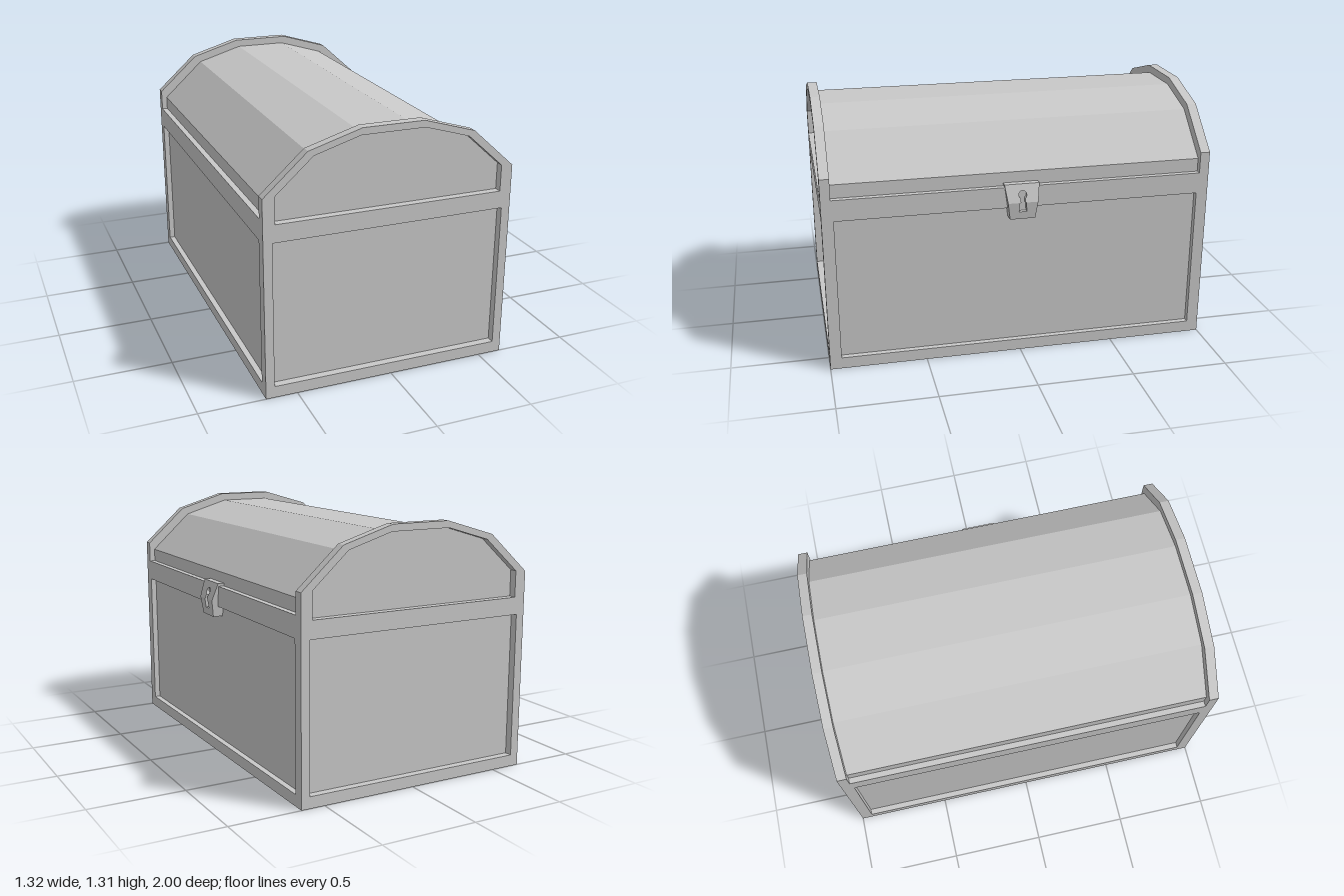
import * as THREE from 'three';

const W = 0.643;      // half width of the chest body
const CORE = 0.613;   // half width of the recessed walls and lid

const shapeOf = (pts) => new THREE.Shape(pts.map(([x, y]) => new THREE.Vector2(x, y)));
const rect = (hx, y0, y1) => [[-hx, y0], [hx, y0], [hx, y1], [-hx, y1]];
// closed symmetric outline from its right half, listed bottom to top
const mirrored = (half) => [...half, ...half.map(([x, y]) => [-x, y]).reverse()];

function slab(outline, holes, depth) {
  const shape = shapeOf(outline);
  holes.forEach((h) => shape.holes.push(shapeOf(h)));
  return new THREE.ExtrudeGeometry(shape, { depth, bevelEnabled: false });
}

export function createModel() {
  const grey = new THREE.MeshStandardMaterial({ color: 0xc8c8c8 });
  grey.name = 'plain grey';
  const model = new THREE.Group();
  model.name = 'chest';
  const chest = new THREE.Group();
  chest.name = 'chestParts';
  chest.position.x = -0.018;
  model.add(chest);

  const add = (name, geometry) => {
    const mesh = new THREE.Mesh(geometry, grey);
    mesh.name = name;
    chest.add(mesh);
    return mesh;
  };

  // Recessed walls, floor and faceted lid in one long prism
  const lid = mirrored([[CORE, 0.035], [CORE, 0.99], [0.39, 1.195], [0.14, 1.27]]);
  add('wallsAndLid', slab(lid, [], 1.9).translate(0, 0, -0.95));

  // End boards with a lower panel and an arched upper panel
  const arch = mirrored([[W, 0], [W, 1.03], [0.423, 1.23], [0.157, 1.31]]);
  const upperPanel = mirrored([[0.583, 0.9], [0.583, 1.035], [0.395, 1.205], [0.163, 1.275]]);
  const lowerPanel = rect(0.598, 0.06, 0.81);
  for (const [name, turn] of [['front', 0], ['back', Math.PI]]) {
    add(name + 'EndPanel', slab(arch, [], 0.01).translate(0, 0, 0.95).rotateY(turn));
    add(name + 'EndFrame', slab(arch, [lowerPanel, upperPanel], 0.04).translate(0, 0, 0.96).rotateY(turn));
  }

  // Long side frames
  for (const [name, turn] of [['left', Math.PI / 2], ['right', -Math.PI / 2]]) {
    const frame = slab(rect(0.95, 0, 0.92), [rect(0.94, 0.06, 0.81)], W - CORE);
    add(name + 'SideFrame', frame.translate(0, 0, CORE).rotateY(turn));
  }

  // Rim under the floor
  const rim = slab(rect(CORE, -0.95, 0.95), [rect(0.59, -0.94, 0.94)], 0.035);
  add('bottomRim', rim.rotateX(Math.PI / 2).translate(0, 0.035, 0));

  // Lock plate: upper and lower halves meet in a ridge, keyhole cut through both
  const slot = 0.011, ridge = 0.845, keyY = 0.882, keyR = 0.021;
  const keyhole = [];
  for (let i = 0; i <= 10; i++) {
    const a = -Math.PI / 2 + 0.55 + (i / 10) * (2 * Math.PI - 1.1);
    keyhole.push([Math.cos(a) * keyR, keyY + Math.sin(a) * keyR]);
  }
  const upper = [[0.0775, ridge], [0.09, 0.935], [-0.09, 0.935], [-0.0775, ridge],
    [-slot, ridge], ...keyhole.reverse(), [slot, ridge]];
  const lower = [[-0.065, 0.755], [0.065, 0.755], [0.0775, ridge], [0.016, ridge],
    [0.02, 0.795], [-0.02, 0.795], [-0.016, ridge], [-0.0775, ridge]];
  const face = (y) => (y > ridge
    ? THREE.MathUtils.mapLinear(y, ridge, 0.935, 0.678, 0.646)
    : THREE.MathUtils.mapLinear(y, 0.755, ridge, 0.666, 0.678));
  for (const [name, outline] of [['lockUpper', upper], ['lockLower', lower]]) {
    const g = slab(outline, [], 1);
    const p = g.attributes.position;
    for (let i = 0; i < p.count; i++) p.setZ(i, p.getZ(i) > 0.5 ? face(p.getY(i)) : CORE);
    g.rotateY(Math.PI / 2);
    g.computeVertexNormals();
    add(name, g);
  }
  // Floor of the keyhole
  add('keyholeFloor', new THREE.BoxGeometry(0.035, 0.12, 0.05).translate(0.633, 0.85, 0));

  return model;
}
